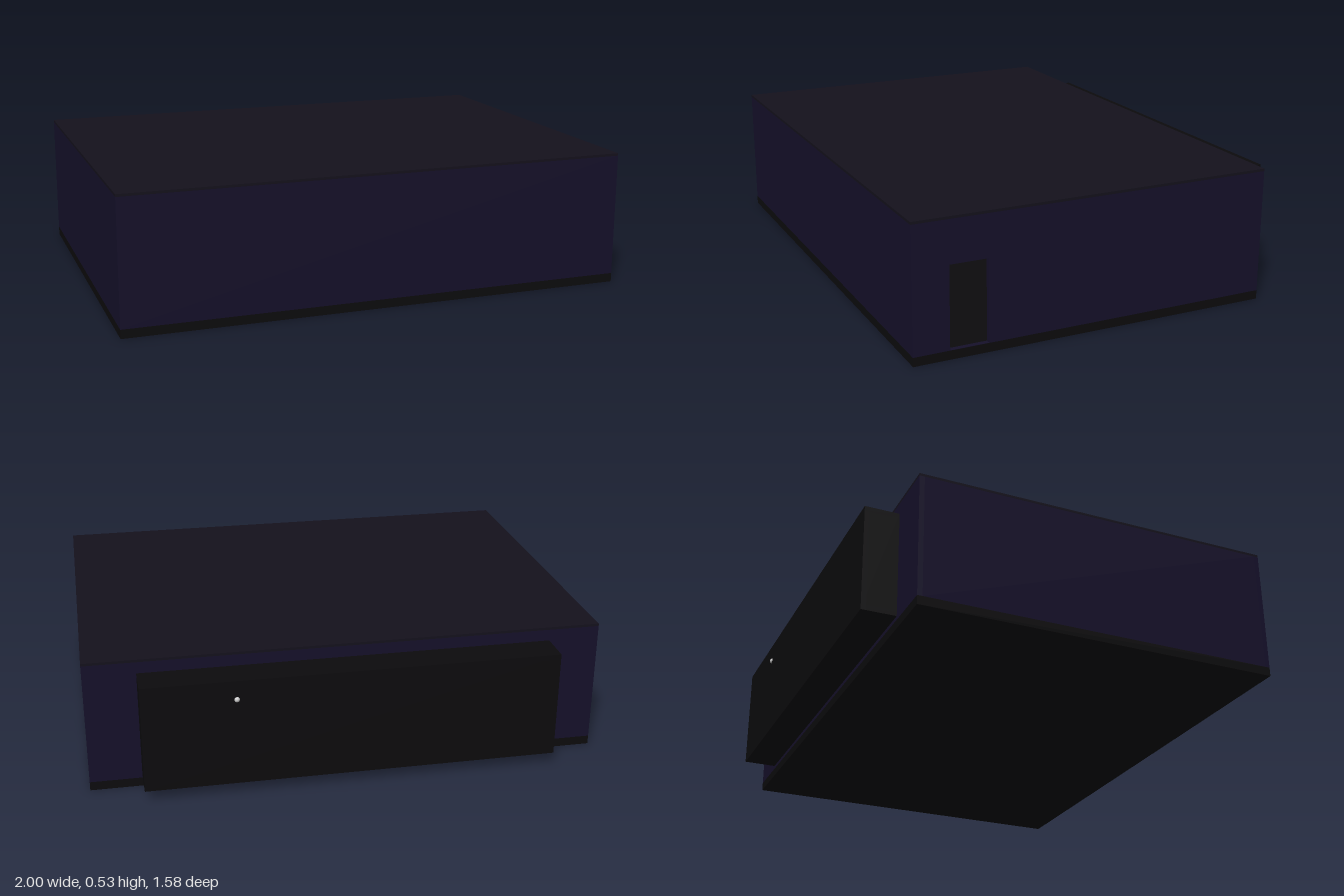
import * as THREE from 'three';

export function createModel() {
  const model = new THREE.Group();
  const mat = (color, extra = {}) => {
    const m = new THREE.MeshStandardMaterial(extra);
    m.color.set(color);
    return m;
  };
  const wallMat = mat(0x15102a), slabMat = mat(0x0c0b0d), ceilingMat = mat(0x14111c);
  const innerMat = mat(0x352c36), seatMat = mat(0x17143a), frameMat = mat(0xc9a58c);
  const artMat = mat(0x6b2a5c), metalMat = mat(0xcccccc);

  // Box given by its [min, max] range on each axis
  function box(name, [x0, x1], [y0, y1], [z0, z1], material, parent = model) {
    const mesh = new THREE.Mesh(new THREE.BoxGeometry(x1 - x0, y1 - y0, z1 - z0), material);
    mesh.position.set((x0 + x1) / 2, (y0 + y1) / 2, (z0 + z1) / 2);
    mesh.name = name;
    parent.add(mesh);
    return mesh;
  }

  const floorTop = 0.035, wallTop = 0.52, top = 0.53;
  const back = -0.65, front = 0.79, t = 0.02;

  // Floor and ceiling slabs
  box('floor', [-1, 1], [0, floorTop], [back, front], slabMat);
  box('ceiling', [-1, 1], [wallTop, top], [back, front], ceilingMat);

  // Closed walls
  const wallY = [floorTop, wallTop];
  box('frontWall', [-1, 1], wallY, [front - t, front], wallMat);
  box('rightWall', [-1, -1 + t], wallY, [back + t, front - t], wallMat);

  // Back wall, opening into the recess behind it
  for (const s of [-1, 1]) {
    box('backWallSide', s < 0 ? [-1, -0.78] : [0.78, 1], wallY, [back, back + t], wallMat);
  }
  box('backWallTop', [-0.78, 0.78], [0.455, wallTop], [back, back + t], wallMat);
  box('backWallBottom', [-0.78, 0.78], [floorTop, 0.07], [back, back + t], wallMat);

  // Left wall with its doorway
  const leftShape = new THREE.Shape();
  leftShape.moveTo(-front + t, floorTop).lineTo(-back - t, floorTop);
  leftShape.lineTo(-back - t, wallTop).lineTo(-front + t, wallTop).closePath();
  const door = new THREE.Path();
  door.moveTo(-0.65, floorTop + 0.001).lineTo(-0.65, 0.355);
  door.lineTo(-0.5, 0.355).lineTo(-0.5, floorTop + 0.001).closePath();
  leftShape.holes.push(door);
  const leftWall = new THREE.Mesh(
    new THREE.ExtrudeGeometry(leftShape, { depth: t, bevelEnabled: false }), wallMat);
  leftWall.rotation.y = Math.PI / 2;
  leftWall.position.x = 1 - t;
  leftWall.name = 'leftWall';
  model.add(leftWall);

  // Recess projecting from the back, hollow towards the room
  const recess = new THREE.Group();
  recess.name = 'backRecess';
  model.add(recess);
  const rz = [-0.785, back], ry = [0.05, 0.475];
  box('recessBack', [-0.8, 0.8], ry, [-0.785, -0.765], slabMat, recess);
  box('recessTop', [-0.8, 0.8], [0.455, 0.475], rz, slabMat, recess);
  box('recessBottom', [-0.8, 0.8], [0.05, 0.07], rz, slabMat, recess);
  box('recessSide', [-0.8, -0.78], ry, rz, slabMat, recess);
  box('recessSide', [0.78, 0.8], ry, rz, slabMat, recess);

  // Small round stud on the back of the recess
  const stud = new THREE.Mesh(new THREE.SphereGeometry(0.011, 16, 12), metalMat);
  stud.position.set(0.445, 0.4, -0.782);
  stud.name = 'stud';
  model.add(stud);

  // Inner lining and framed picture on the wall facing the doorway
  box('innerLining', [-0.98, -0.97], wallY, [back + t, front - t], innerMat);
  box('pictureFrame', [-0.97, -0.955], [0.18, 0.345], [0.42, 0.54], frameMat);
  box('picture', [-0.955, -0.95], [0.22, 0.29], [0.445, 0.528], artMat);

  // Chairs standing in line with the doorway
  for (const x of [-0.7, -0.45]) {
    const chair = new THREE.Group();
    chair.name = 'chair';
    box('chairBase', [-0.05, 0.05], [floorTop, 0.05], [0.515, 0.62], slabMat, chair);
    box('chairSeat', [-0.05, 0.05], [0.05, 0.09], [0.53, 0.625], seatMat, chair);
    box('chairBack', [-0.05, 0.05], [0.08, 0.16], [0.555, 0.61], seatMat, chair);
    for (const s of [-1, 1]) {
      box('chairArm', [s * 0.055 - 0.008, s * 0.055 + 0.008], [0.05, 0.12], [0.54, 0.625], seatMat, chair);
    }
    chair.position.x = x;
    model.add(chair);
  }

  return model;
}
